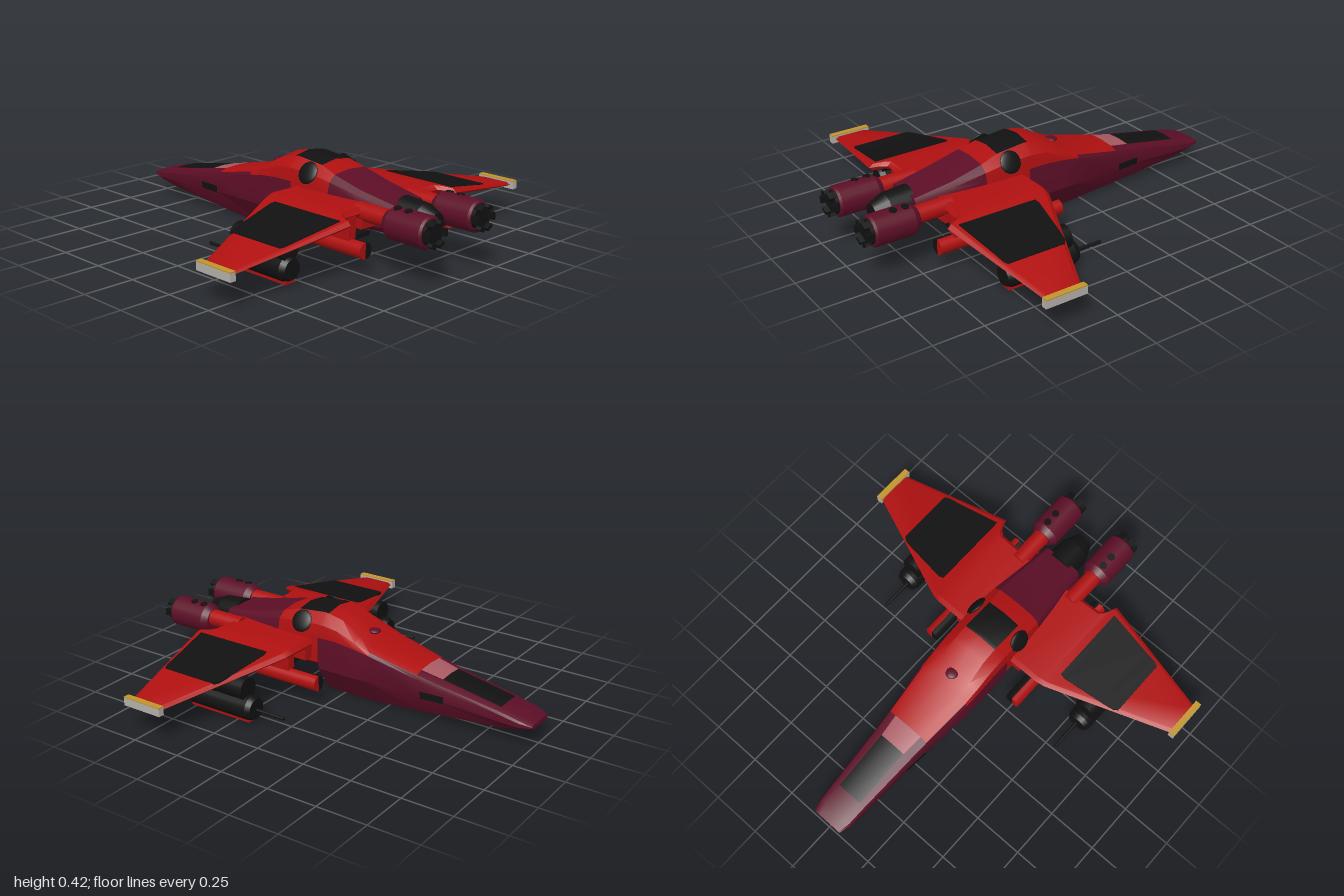
import * as THREE from 'three';
import { toCreasedNormals } from 'three/addons/utils/BufferGeometryUtils.js';

const material = (name, color) => {
  const m = new THREE.MeshStandardMaterial({ color });
  m.name = name;
  return m;
};

// Skin a row of closed rings, with end caps; pick(i, j) chooses the material of each quad.
function loft(rings, flip = false, pick = () => 0) {
  const buckets = [];
  const tri = (k, a, b, c) => {
    (buckets[k] ??= []).push(...a, ...(flip ? c : b), ...(flip ? b : c));
  };
  const n = rings[0].length;
  for (let i = 0; i < rings.length - 1; i++) {
    for (let j = 0; j < n; j++) {
      const k = (j + 1) % n, A = rings[i], B = rings[i + 1], m = pick(i, j);
      tri(m, A[j], A[k], B[k]);
      tri(m, A[j], B[k], B[j]);
    }
  }
  const first = rings[0], last = rings[rings.length - 1];
  for (let j = 1; j < n - 1; j++) {
    tri(0, first[0], first[j + 1], first[j]);
    tri(0, last[0], last[j], last[j + 1]);
  }
  const geo = new THREE.BufferGeometry();
  let start = 0;
  buckets.forEach((b, m) => {
    geo.addGroup(start, b.length / 3, m);
    start += b.length / 3;
  });
  geo.setAttribute('position', new THREE.Float32BufferAttribute(buckets.flat(), 3));
  return toCreasedNormals(geo, 0.5);
}

export function createModel() {
  const group = new THREE.Group();
  const maroon = material('maroon', 0x5c0e26), red = material('red', 0xb01010);
  const black = material('black', 0x111111), pink = material('pink', 0xa85a62);
  const gold = material('gold', 0xc2952c), grey = material('grey', 0xb4b0aa);

  const add = (name, geo, mat, x = 0, y = 0, z = 0) => {
    const mesh = new THREE.Mesh(geo, mat);
    mesh.name = name;
    mesh.position.set(x, y, z);
    group.add(mesh);
    return mesh;
  };
  const box = (name, mat, x0, x1, y0, y1, z0, z1) => add(name,
    new THREE.BoxGeometry(x1 - x0, y1 - y0, Math.abs(z1 - z0)), mat,
    (x0 + x1) / 2, (y0 + y1) / 2, (z0 + z1) / 2);
  // Round part lying along x, with its own radius at each end
  const rod = (name, mat, x0, x1, y, z, r0, r1 = r0, arc = [0, Math.PI * 2]) => add(name,
    new THREE.CylinderGeometry(r0, r1, x1 - x0, 20, 1, false, ...arc).rotateZ(Math.PI / 2),
    mat, (x0 + x1) / 2, y, z);

  // Fuselage stations: x, top, top half width, shoulder y, half width, side y, belly half width, belly y
  const stations = [
    [-1, 0.122, 0.05, 0.116, 0.08, 0.11, 0.06, 0.1],
    [-0.94, 0.146, 0.06, 0.125, 0.095, 0.105, 0.07, 0.085],
    [-0.84, 0.17, 0.065, 0.145, 0.1, 0.11, 0.075, 0.07],
    [-0.54, 0.227, 0.07, 0.19, 0.117, 0.13, 0.075, 0.042],
    [-0.43, 0.25, 0.08, 0.215, 0.125, 0.13, 0.072, 0.03],
    [-0.18, 0.303, 0.1, 0.275, 0.147, 0.14, 0.07, 0.01],
    [-0.1, 0.345, 0.095, 0.29, 0.15, 0.14, 0.07, 0.008],
    [0, 0.405, 0.09, 0.3, 0.15, 0.14, 0.07, 0.01],
    [0.08, 0.424, 0.09, 0.3, 0.15, 0.14, 0.07, 0.013],
    [0.1, 0.425, 0.09, 0.3, 0.15, 0.14, 0.07, 0.014],
    [0.105, 0.425, 0.09, 0.3, 0.15, 0.17, 0.1, 0.135],
    [0.25, 0.408, 0.09, 0.3, 0.15, 0.17, 0.1, 0.135],
    [0.34, 0.378, 0.1, 0.3, 0.145, 0.17, 0.1, 0.14],
    [0.5, 0.335, 0.1, 0.28, 0.13, 0.18, 0.09, 0.15],
    [0.69, 0.3, 0.09, 0.26, 0.11, 0.19, 0.08, 0.16],
  ];
  const hullRings = stations.map(([x, t, tw, ys, w, ym, bw, b]) => {
    const half = [[tw, t - (t - ys) * 0.12], [w * 0.93, ys + (t - ys) * 0.5], [w, ys], [w, ym], [bw, b]];
    const mirrored = [...half].reverse().map(([z, y]) => [-z, y]);
    return [[0, t], ...half, [0, b], ...mirrored].map(([z, y]) => [x, y, z]);
  });
  // Material index by station and by distance round from the spine
  const hullColour = (i, j) => {
    const x = stations[i][0], band = Math.min(j, 11 - j);
    if (band === 0) {
      if (x === -0.84) return 2;
      if (x === -0.54) return 3;
      if (x >= 0.08 && x < 0.25) return 2;
    }
    if (x >= -0.43 && x < -0.18 && band < 2) return 1;
    if (x >= -0.18 && x < 0.34 && band < 3) return 1;
    if (x >= 0.105 && x < 0.34 && band < 4) return 1;
    return 0;
  };
  add('fuselage', loft(hullRings, false, hullColour), [maroon, red, black, pink]);

  const dome = add('spineSensor', new THREE.SphereGeometry(0.03, 16, 10), maroon, -0.12, 0.337, 0);
  dome.scale.y = 0.4;
  rod('centreExhaust', black, 0.67, 0.79, 0.235, 0, 0.085, 0.075);
  rod('centreExhaustTip', black, 0.79, 0.86, 0.235, 0, 0.075, 0.045);

  for (const s of [1, -1]) {
    const side = s > 0 ? 'left' : 'right';
    const name = (part) => `${side}${part}`;

    // Side window and nose vent
    const pane = add(name('SideWindow'), new THREE.SphereGeometry(0.055, 16, 10), black, 0.205, 0.358, s * 0.136);
    pane.scale.y = 0.25;
    pane.rotation.x = s * 1.05;
    const vent = box(name('NoseVent'), black, -0.57, -0.45, 0.125, 0.158, s * 0.113, s * 0.122);
    vent.rotation.y = -s * 0.075;

    // Wing: level root, then drooping outward; stations z, x0, x1, y, thickness
    const wing = [
      [0.1, 0.13, 0.6, 0.262, 0.045], [0.18, 0.13, 0.6, 0.265, 0.045], [0.31, 0.13, 0.605, 0.268, 0.04],
      [0.335, 0.135, 0.63, 0.265, 0.036], [0.355, 0.14, 0.68, 0.261, 0.034], [0.935, 0.39, 0.57, 0.16, 0.02],
    ];
    add(name('Wing'), loft(wing.map(([z, x0, x1, y, t]) => [
      [x0, y], [x0 + 0.02, y + t / 2], [x1 - 0.02, y + t / 2],
      [x1, y], [x1 - 0.02, y - t / 2], [x0 + 0.02, y - t / 2],
    ].map(([x, v]) => [x, v, s * z])), s > 0), red);

    // Dark panel on the upper wing skin
    const panel = [[0.375, 0.235, 0.635, 0.276], [0.4, 0.23, 0.632, 0.271], [0.6, 0.265, 0.605, 0.234],
      [0.665, 0.28, 0.598, 0.222], [0.685, 0.295, 0.588, 0.2185]];
    add(name('WingPanel'), loft(panel.map(([z, x0, x1, y]) => [
      [x0, y + 0.002], [x1, y + 0.002], [x1, y - 0.006], [x0, y - 0.006],
    ].map(([x, v]) => [x, v, s * z])), s > 0), black);

    // Wing tip plate
    box(name('WingTip'), grey, 0.38, 0.59, 0.14, 0.178, s * 0.93, s * 0.96);
    box(name('WingTipCap'), gold, 0.38, 0.59, 0.178, 0.183, s * 0.93, s * 0.96);

    // Wing root fairing
    box(name('RootFairing'), red, 0.14, 0.6, 0.19, 0.265, s * 0.1, s * 0.2);

    // Engine with its nozzle
    const ez = s * 0.165, ey = 0.25;
    rod(name('EngineNeck'), red, 0.55, 0.74, ey + 0.01, ez, 0.042);
    rod(name('EngineShoulder'), maroon, 0.73, 0.76, ey, ez, 0.055, 0.075);
    rod(name('Engine'), maroon, 0.76, 0.95, ey, ez, 0.075);
    rod(name('EngineRim'), maroon, 0.95, 0.96, ey, ez, 0.075, 0.066);
    rod(name('Nozzle'), black, 0.955, 0.975, ey, ez, 0.06);
    for (let k = 0; k < 6; k++) {
      const a = (k + 0.5) * Math.PI / 3;
      const prong = add(name('NozzlePetal'), new THREE.BoxGeometry(0.045, 0.016, 0.034), black,
        0.9775, ey + Math.cos(a) * 0.053, ez + Math.sin(a) * 0.053);
      prong.rotation.x = a;
    }
    for (const x of [0.785, 0.845]) {
      const port = add(name('EnginePort'), new THREE.CylinderGeometry(0.018, 0.018, 0.008, 12), black,
        x, ey + 0.074, ez + s * 0.012);
      port.rotation.x = s * 0.16;
    }

    // Under-wing tube, red outside and dark inside, with its struts
    const tz = s * 0.26, outer = s > 0 ? -Math.PI / 2 : Math.PI / 2;
    rod(name('TubeOuter'), red, 0.02, 0.68, 0.125, tz, 0.038, 0.038, [outer, Math.PI]);
    rod(name('TubeInner'), black, 0.02, 0.68, 0.125, tz, 0.038, 0.038, [outer + Math.PI, Math.PI]);
    box(name('TubePylon'), red, 0.18, 0.6, 0.15, 0.26, s * 0.238, s * 0.282);
    box(name('TubeBrace'), black, 0.25, 0.55, 0.128, 0.15, s * 0.09, s * 0.25);

    // Gun pod hung beneath the wing
    const pz = s * 0.56;
    rod(name('PodMount'), black, 0.2, 0.52, 0.168, pz, 0.055);
    rod(name('PodNose'), black, 0.155, 0.18, 0.078, pz, 0.05, 0.06);
    rod(name('Pod'), black, 0.18, 0.51, 0.078, pz, 0.06);
    rod(name('PodTail'), black, 0.51, 0.535, 0.078, pz, 0.06, 0.045);
    box(name('PodKeel'), red, 0.18, 0.52, 0.012, 0.035, pz - 0.028, pz + 0.028);
    rod(name('GunBarrel'), black, 0, 0.17, 0.07, pz - s * 0.005, 0.008);
  }
  return group;
}
